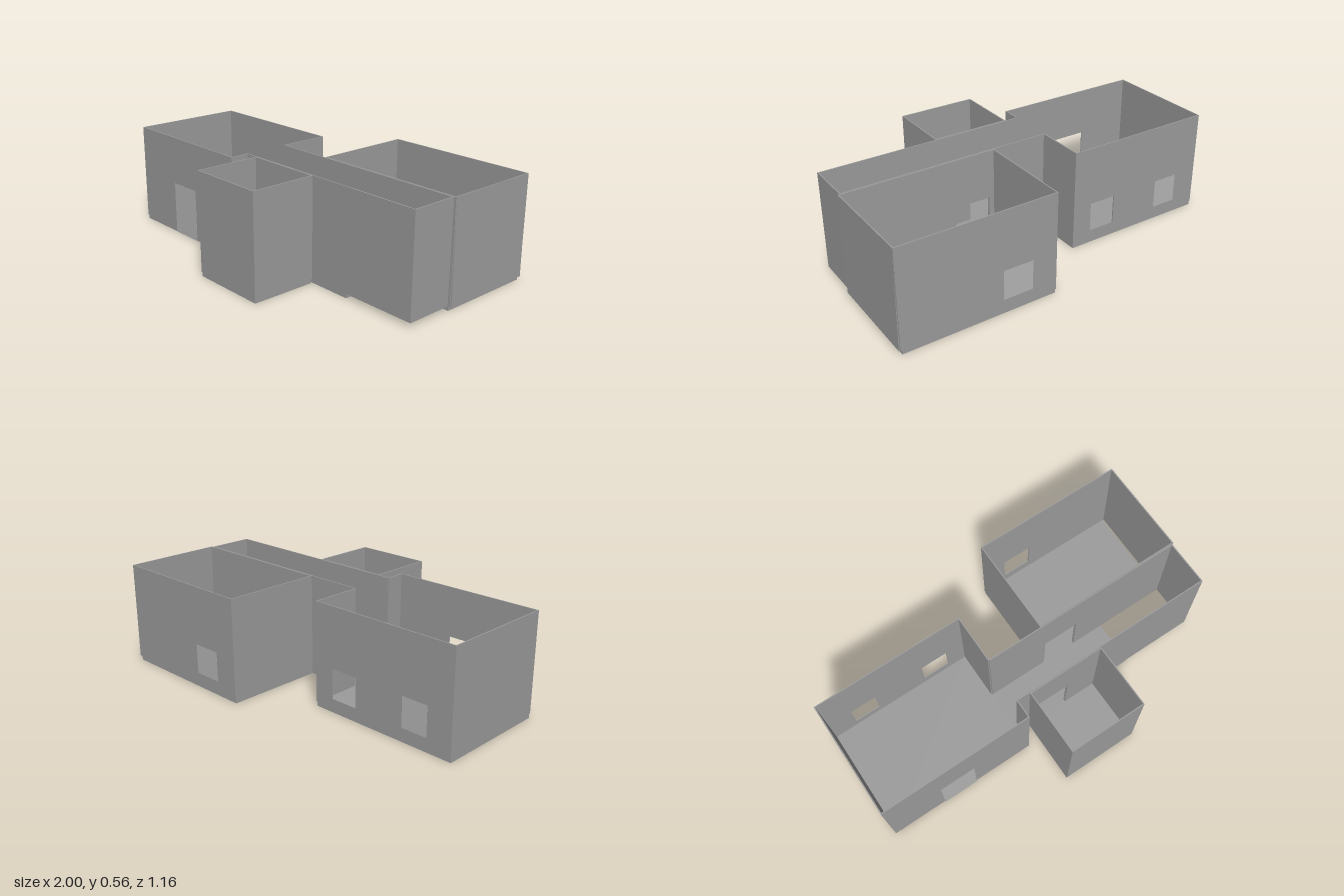
import * as THREE from 'three';

const BASE = 0.024, TOP = 0.557, T = 0.006, DOOR = 0.293;
const wallGrey = new THREE.MeshStandardMaterial({ color: 0x9c9c9c });
const panelGrey = new THREE.MeshStandardMaterial({ color: 0xb6b6b6 });

export function createModel() {
  const model = new THREE.Group();

  const add = (parent, name, geometry, material = wallGrey) => {
    const mesh = new THREE.Mesh(geometry, material);
    mesh.name = name;
    parent.add(mesh);
    return mesh;
  };

  // Upright wall along x centred on z; doors are [x0, x1], windows [x0, x1, y0, y1]
  const wallX = (room, name, x0, x1, z, doors = [], windows = []) => {
    const s = new THREE.Shape();
    s.moveTo(x0, BASE);
    for (const [a, b] of doors) {
      s.lineTo(a, BASE);
      s.lineTo(a, DOOR);
      s.lineTo(b, DOOR);
      s.lineTo(b, BASE);
    }
    s.lineTo(x1, BASE);
    s.lineTo(x1, TOP);
    s.lineTo(x0, TOP);
    s.closePath();
    for (const [a, b, y0, y1] of windows) {
      const h = new THREE.Path();
      h.moveTo(a, y0);
      h.lineTo(a, y1);
      h.lineTo(b, y1);
      h.lineTo(b, y0);
      h.closePath();
      s.holes.push(h);
    }
    const g = new THREE.ExtrudeGeometry(s, { depth: T, bevelEnabled: false });
    add(room, name, g.translate(0, 0, z - T / 2));
  };

  // Plain wall along z centred on x, with an optional slight lean
  const wallZ = (room, name, x, z0, z1, lean = 0) => {
    const w = add(room, name, new THREE.BoxGeometry(T, TOP - BASE, z1 - z0));
    w.position.set(x, (TOP + BASE) / 2, (z0 + z1) / 2);
    w.rotation.z = lean;
  };

  const slab = (room, name, x0, x1, z0, z1) =>
    add(room, name, new THREE.BoxGeometry(x1 - x0, BASE, z1 - z0))
      .position.set((x0 + x1) / 2, BASE / 2, (z0 + z1) / 2);

  // One-sided panel filling an opening, facing outwards (dir = +1 front, -1 back)
  const panel = (room, name, x0, x1, y0, y1, z, dir) => {
    const p = add(room, name, new THREE.PlaneGeometry(x1 - x0, y1 - y0), panelGrey);
    p.position.set((x0 + x1) / 2, (y0 + y1) / 2, z);
    if (dir < 0) p.rotation.y = Math.PI;
  };

  const makeRoom = (name) => {
    const g = new THREE.Group();
    g.name = name;
    model.add(g);
    return g;
  };

  // Main room: front door, two back windows, open to the corridor
  const main = makeRoom('mainRoom');
  slab(main, 'floor', -0.998, -0.162, -0.308, 0.315);
  wallX(main, 'frontWall', -1, -0.16, 0.317, [[-0.695, -0.497]]);
  wallX(main, 'backWall', -1, -0.16, -0.309, [],
    [[-0.86, -0.715, 0.075, 0.235], [-0.425, -0.27, 0.075, 0.235]]);
  wallZ(main, 'outerWall', -0.997, -0.306, 0.314);
  wallZ(main, 'innerWallBack', -0.163, -0.306, -0.038);
  wallZ(main, 'innerWallFront', -0.163, 0.214, 0.314);
  panel(main, 'frontDoor', -0.695, -0.497, 0.002, DOOR, 0.321, 1);
  panel(main, 'windowPane', -0.86, -0.715, 0.075, 0.235, -0.313, -1);

  // Corridor: doorways on both sides, floor stops short of the far end
  const hall = makeRoom('corridor');
  slab(hall, 'floor', -0.162, 0.575, -0.036, 0.214);
  slab(hall, 'backThreshold', 0.185, 0.385, -0.044, -0.036);
  slab(hall, 'frontThreshold', -0.04, 0.147, 0.214, 0.222);
  wallX(hall, 'frontWall', -0.16, 0.983, 0.214, [[-0.04, 0.147]]);
  wallX(hall, 'backWall', -0.16, 0.983, -0.035, [[0.185, 0.385]]);
  wallZ(hall, 'endWall', 0.98, -0.032, 0.211);

  // Back room
  const back = makeRoom('backRoom');
  slab(back, 'floor', 0.152, 0.983, -0.577, -0.044);
  wallX(back, 'backWall', 0.15, 0.993, -0.579, [], [[0.287, 0.45, 0.08, 0.24]]);
  wallX(back, 'frontWall', 0.15, 0.993, -0.043, [[0.185, 0.385]]);
  wallZ(back, 'rightWall', 0.153, -0.576, -0.046);
  wallZ(back, 'leftWall', 0.993, -0.576, -0.046, 0.01);
  panel(back, 'windowPane', 0.287, 0.45, 0.08, 0.24, -0.583, -1);

  // Small front room
  const small = makeRoom('smallRoom');
  slab(small, 'floor', -0.088, 0.336, 0.222, 0.575);
  wallX(small, 'frontWall', -0.09, 0.339, 0.576);
  wallX(small, 'backWall', -0.09, 0.339, 0.222, [[-0.04, 0.147]]);
  wallZ(small, 'rightWall', -0.087, 0.225, 0.573);
  wallZ(small, 'leftWall', 0.336, 0.225, 0.573);

  return model;
}
